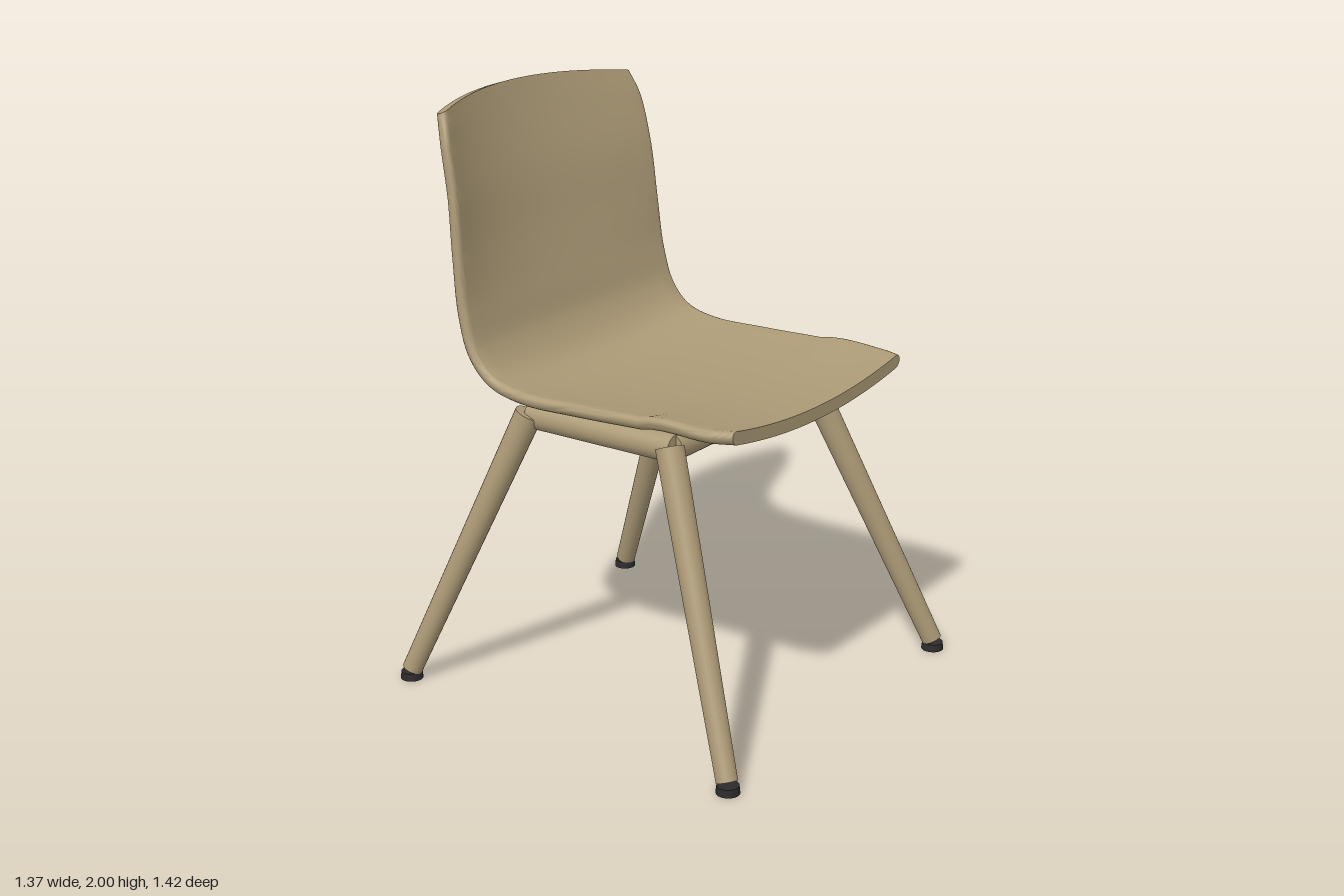
import * as THREE from 'three';
import { toCreasedNormals } from 'three/addons/utils/BufferGeometryUtils.js';

const V = (x, y, z) => new THREE.Vector3(x, y, z);

// Shell rows from the front edge to the top of the back:
// z, y, half width, rise of the sides, forward curl of the sides
const ROWS = [
  [0.58, 1.048, 0.5, 0.05, 0],
  [0.5, 1.047, 0.53, 0.05, 0],
  [0.25, 1.043, 0.54, 0.05, 0],
  [0, 1.041, 0.548, 0.045, 0],
  [-0.22, 1.047, 0.553, 0.04, 0.005],
  [-0.35, 1.09, 0.555, 0.03, 0.015],
  [-0.435, 1.19, 0.555, 0.01, 0.025],
  [-0.478, 1.32, 0.552, 0, 0.03],
  [-0.53, 1.5, 0.545, 0, 0.06],
  [-0.58, 1.7, 0.535, 0, 0.09],
  [-0.635, 1.88, 0.522, -0.01, 0.11],
  [-0.668, 1.99, 0.495, -0.03, 0.11],
];

function shellGeometry() {
  const spine = new THREE.CatmullRomCurve3(ROWS.map(r => V(r[0], r[1], r[2])));
  const bow = new THREE.CatmullRomCurve3(ROWS.map(r => V(r[3], r[4], 0)));
  const steps = 66, half = 0.022, round = 0.04;

  // Positions across the width, denser at the rounded side edges
  const us = [-1, -0.995, -0.985, -0.97];
  for (let k = 0; k <= 24; k++) us.push(-0.955 + (1.91 * k) / 24);
  us.push(0.97, 0.985, 0.995, 1);
  const n = us.length * 2;
  const pos = [], idx = [];

  for (let i = 0; i <= steps; i++) {
    const t = i / steps;
    const p = spine.getPoint(t), b = bow.getPoint(t);
    const d = spine.getPoint(Math.min(1, t + 0.005)).sub(spine.getPoint(Math.max(0, t - 0.005)));
    const len = Math.hypot(d.x, d.y);
    const nz = d.y / len, ny = -d.x / len;
    const add = (u, side) => {
      const e = Math.max(0, (Math.abs(u) - 1 + round) / round);
      const h = side * half * Math.max(0.2, Math.sqrt(Math.max(0, 1 - e * e)));
      pos.push(u * p.z, p.y + b.x * u * u + ny * h, p.x + b.y * u * u + nz * h);
    };
    us.forEach(u => add(u, 1));
    [...us].reverse().forEach(u => add(u, -1));
  }
  for (let i = 0; i < steps; i++) {
    for (let j = 0; j < n; j++) {
      const a = i * n + j, b = i * n + ((j + 1) % n);
      idx.push(a, b, a + n, b, b + n, a + n);
    }
  }
  // Front and top edges
  const o = steps * n;
  for (let k = 0; k < n / 2 - 1; k++) {
    const a = k, b = k + 1, c = n - 1 - k, d = n - 2 - k;
    idx.push(a, c, b, b, c, d);
    idx.push(o + a, o + b, o + c, o + b, o + d, o + c);
  }
  const g = new THREE.BufferGeometry();
  g.setAttribute('position', new THREE.Float32BufferAttribute(pos, 3));
  g.setIndex(idx);
  return toCreasedNormals(g, 0.9);
}

// Round bar between two points
function bar(name, from, to, r0, r1, material) {
  const dir = to.clone().sub(from);
  const m = new THREE.Mesh(new THREE.CylinderGeometry(r1, r0, dir.length(), 24), material);
  m.position.copy(from).add(to).multiplyScalar(0.5);
  m.quaternion.setFromUnitVectors(V(0, 1, 0), dir.normalize());
  m.name = name;
  return m;
}

export function createModel() {
  const model = new THREE.Group();
  model.name = 'chair';
  const wood = new THREE.MeshStandardMaterial({ color: 0xac9a76 });
  wood.name = 'tan wood';
  const rubber = new THREE.MeshStandardMaterial({ color: 0x2c2a2a });
  rubber.name = 'dark rubber';

  // Seat and back in one moulded shell
  const shell = new THREE.Mesh(shellGeometry(), wood);
  shell.name = 'seatShell';
  model.add(shell);

  // Splayed legs with glides; the front pair stands slightly wider
  for (const sx of [1, -1]) {
    for (const sz of [1, -1]) {
      const name = (sz > 0 ? 'front' : 'back') + (sx > 0 ? 'Left' : 'Right');
      const footX = sz > 0 ? 0.645 : 0.612;
      const leg = bar(name + 'Leg', V(sx * footX, 0.035, sz * 0.668),
        V(sx * 0.415, 0.985, sz * 0.285), 0.035, 0.047, wood);
      const glide = new THREE.Mesh(new THREE.CylinderGeometry(0.036, 0.039, 0.026, 24), rubber);
      glide.position.set(sx * footX, 0.013, sz * 0.672);
      glide.name = name + 'Glide';
      model.add(leg, glide);
    }
  }

  // Rails under the seat
  const y = 0.974, r = 0.047;
  for (const s of [1, -1]) {
    model.add(bar(s > 0 ? 'frontRail' : 'backRail', V(-0.39, y, s * 0.27), V(0.39, y, s * 0.27), r, r, wood));
    model.add(bar(s > 0 ? 'leftRail' : 'rightRail', V(s * 0.39, y, -0.29), V(s * 0.39, y, 0.29), r, r, wood));
  }
  return model;
}
